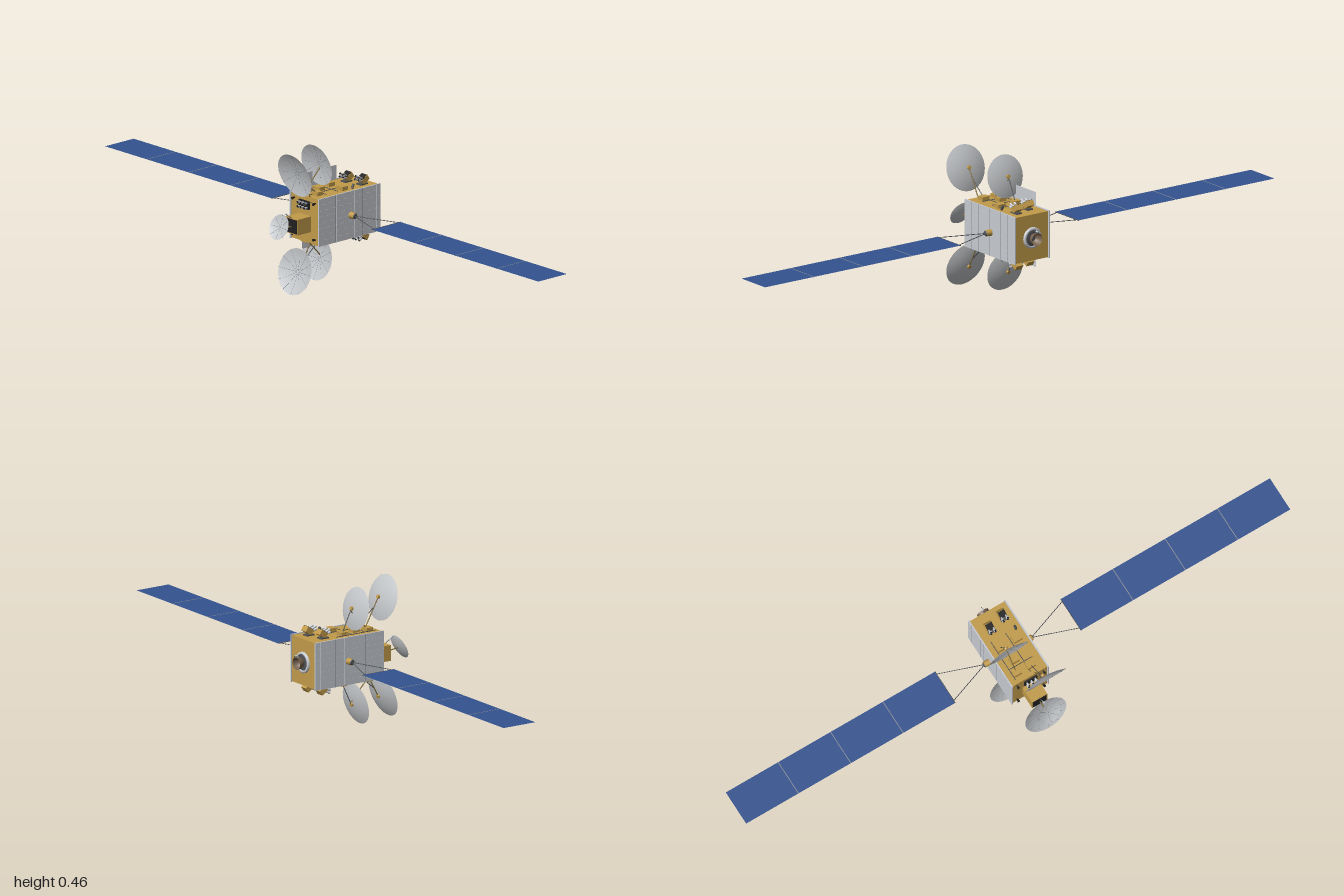
import * as THREE from 'three';

const mat = (name, color, side = THREE.FrontSide) => {
  const m = new THREE.MeshStandardMaterial({ color, side });
  m.name = name;
  return m;
};
const V = (x, y, z) => new THREE.Vector3(x, y, z);
const CY = 0.23; // height of the long axis

export function createModel() {
  const root = new THREE.Group();
  root.name = 'satellite';
  const gold = mat('gold foil', 0xc29b4a);
  const grey = mat('radiator grey', 0xc8ccd2);
  const seam = mat('seam grey', 0x8b9097);
  const dishMat = mat('reflector grey', 0xc4c7ca, THREE.DoubleSide);
  const blue = mat('solar blue', 0x34528f);
  const black = mat('black', 0x202020);
  const dark = mat('dark metal', 0x505357);
  const brown = mat('nozzle brown', 0x7a6450, THREE.DoubleSide);
  const strutMat = mat('strut bronze', 0x84703a);

  const add = (name, geo, m, p = V(0, 0, 0), parent = root) => {
    const mesh = new THREE.Mesh(geo, m);
    mesh.name = name;
    mesh.position.copy(p);
    parent.add(mesh);
    return mesh;
  };
  const box = (name, m, w, h, d, x, y, z, parent = root) =>
    add(name, new THREE.BoxGeometry(w, h, d), m, V(x, y, z), parent);
  const aim = (o, dir) => o.quaternion.setFromUnitVectors(V(0, 1, 0), dir.clone().normalize());
  // tapered round bar between two points
  const rod = (name, m, a, b, r0, r1 = r0, seg = 8) => {
    const d = b.clone().sub(a);
    const mesh = add(name, new THREE.CylinderGeometry(r1, r0, d.length(), seg), m, a.clone().add(b).multiplyScalar(0.5));
    aim(mesh, d);
    return mesh;
  };
  // shallow bowl with its rim plane centred on p and its hollow facing dir
  const dish = (name, p, dir, r, depth, ribs) => {
    const g = new THREE.Group();
    g.name = name;
    g.position.copy(p);
    aim(g, dir);
    root.add(g);
    const curve = [];
    for (let i = 0; i <= 8; i++) curve.push(new THREE.Vector2(r * i / 8, depth * ((i / 8) ** 2 - 1)));
    add('bowl', new THREE.LatheGeometry(curve, 36), dishMat, V(0, 0, 0), g);
    const path = new THREE.CatmullRomCurve3([0.05, 0.35, 0.7, 1].map(t => V(r * t, depth * (t * t - 1) + 0.0004, 0)));
    for (let i = 0; i < ribs; i++)
      add('rib', new THREE.TubeGeometry(path, 6, 0.0004, 4), seam, V(0, 0, 0), g).rotation.y = i * Math.PI * 2 / ribs;
  };

  // main body with tiled side radiators
  box('body', gold, 0.126, 0.15, 0.256, 0, CY, -0.045);
  for (const s of [1, -1]) {
    box('sideRadiator', grey, 0.004, 0.155, 0.262, s * 0.066, CY, -0.045);
    const tz = 0.262 / 14, ty = 0.155 / 8;
    for (let i = 0; i < 14; i++)
      for (let j = 0; j < 8; j++)
        box('radiatorTile', grey, 0.0006, ty - 0.0005, tz - 0.0005,
          s * 0.0682, CY - 0.0775 + (j + 0.5) * ty, 0.086 - (i + 0.5) * tz);
    for (const z of [0.015, -0.1]) box('panelJoint', seam, 0.001, 0.155, 0.002, s * 0.0683, CY, z);
  }
  // large inward-facing radiator sheet
  add('radiatorSheet', new THREE.PlaneGeometry(0.147, 0.245), grey, V(-0.0635, CY, -0.0365)).rotation.y = Math.PI / 2;

  // solar wings with their drives and yokes
  for (const s of [1, -1]) {
    const zc = -0.049, w = 0.1925;
    rod('wingDrive', gold, V(s * 0.066, CY, zc), V(s * 0.088, CY, zc), 0.011, 0.0095, 16);
    rod('driveCap', dark, V(s * 0.088, CY, zc), V(s * 0.0905, CY, zc), 0.009, 0.007, 16);
    for (const e of [-0.052, 0.052])
      rod('yokeArm', dark, V(s * 0.086, CY, zc), V(s * 0.232, CY, zc + e), 0.0012);
    rod('yokeBar', dark, V(s * 0.231, CY, zc - 0.061), V(s * 0.231, CY, zc + 0.061), 0.0012);
    for (let i = 0; i < 4; i++) {
      const x = s * (0.23 + w * (i + 0.5)), sheet = new THREE.PlaneGeometry(w, 0.122);
      add('solarCells', sheet, blue, V(x, CY + 0.0003, zc)).rotation.x = -Math.PI / 2;
      add('solarBack', sheet, black, V(x, CY - 0.0003, zc)).rotation.x = Math.PI / 2;
      if (i) box('panelGap', seam, 0.0025, 0.0012, 0.122, s * (0.23 + w * i), CY, zc);
    }
  }

  // top and bottom decks, mirrored about the long axis
  for (const s of [1, -1]) {
    const P = (x, y, z) => V(x, CY + s * y, z);
    // reflectors
    dish('frontReflector', P(0.02, 0.157, 0.145), V(0, -s * 0.04, 0.143), 0.0742, 0.0135, 12);
    dish('rearReflector', P(-0.03, 0.153, 0.006), V(0, -s * 0.028, 0.135), 0.069, 0.0115, 12);
    rod('frontBoom', strutMat, P(0.02, 0.075, 0.08), P(0.02, 0.16, 0.126), 0.0018);
    rod('frontBrace', dark, P(0.02, 0.08, 0.05), P(0.02, 0.13, 0.108), 0.0014);
    rod('reflectorHub', gold, P(0.02, 0.163, 0.123), P(0.02, 0.161, 0.1295), 0.006, 0.006, 12);
    rod('rearBoom', strutMat, P(-0.03, 0.08, 0.05), P(-0.03, 0.147, -0.012), 0.0018);
    rod('rearBrace', dark, P(-0.03, 0.085, -0.045), P(-0.03, 0.157, -0.011), 0.0014);
    rod('reflectorHub', gold, P(-0.03, 0.157, -0.014), P(-0.03, 0.1555, -0.0075), 0.006, 0.006, 12);
    // hinge boxes and deck rails
    for (const [x, z] of [[0.02, 0.05], [-0.03, 0.05], [-0.015, 0.009], [-0.03, -0.047], [0.03, -0.047]])
      box('hingeBox', gold, 0.028, 0.013, 0.024, x, CY + s * 0.081, z);
    for (const x of [-0.045, 0.01]) rod('deckRail', dark, P(x, 0.077, 0.07), P(x, 0.077, -0.08), 0.0012);
    for (const z of [0.03, -0.02]) rod('deckRail', dark, P(-0.045, 0.077, z), P(0.04, 0.077, z), 0.0012);
    // tilted feed boxes with a black aperture plate and horns
    for (const [x, z] of [[-0.025, -0.122], [0.03, -0.137]]) {
      const b = new THREE.Group();
      b.name = 'feedUnit';
      b.position.copy(P(x, 0.092, z));
      b.rotation.x = s * 0.6;
      root.add(b);
      box('feedBox', gold, 0.026, 0.018, 0.026, 0, 0, 0, b);
      box('aperturePlate', black, 0.024, 0.001, 0.024, 0, s * 0.0095, 0, b);
      for (const dx of [-0.008, 0.008])
        for (const k of [0, 1]) {
          const from = P(x + dx, 0.088 + k * 0.009, z + 0.01 + k * 0.002);
          const to = P(x + dx, 0.094 + k * 0.009, z + 0.027 - k * 0.002);
          rod('feedHorn', grey, from, to, 0.0022, 0.0045, 12);
          rod('hornMouth', black, to, to.clone().add(V(0, s * 0.0002, 0.0005)), 0.0036, 0.0036, 12);
        }
      box('feedBase', dark, 0.022, 0.004, 0.03, x, CY + s * 0.077, z + 0.005);
    }
    rod('sensor', dark, P(0.045, 0.075, -0.075), P(0.045, 0.09, -0.082), 0.004, 0.004, 10);
    // thrusters near the front corners
    for (const x of [-0.048, 0.048])
      rod('frontThruster', black, P(x, 0.06, 0.082), P(x, 0.058, 0.094), 0.002, 0.0045, 10);
  }

  // front antenna tower and steerable dish
  box('antennaTower', gold, 0.056, 0.051, 0.058, 0, 0.2175, 0.112);
  box('towerFacePlate', black, 0.05, 0.045, 0.001, 0, 0.2175, 0.1415);
  dish('steerableReflector', V(0, 0.2245, 0.1945), V(0, 0.034, 0.075), 0.041, 0.007, 8);
  rod('dishArm', strutMat, V(0, 0.215, 0.14), V(0, 0.2215, 0.186), 0.002);
  rod('feedArm', dark, V(0, 0.242, 0.14), V(0, 0.258, 0.162), 0.0012);
  rod('feedTip', grey, V(0, 0.25, 0.152), V(0, 0.263, 0.167), 0.0012, 0.003, 10);

  // front horn cluster
  box('hornPlate', black, 0.046, 0.026, 0.006, 0, 0.277, 0.086);
  for (const x of [-0.015, 0, 0.015])
    for (const y of [0.27, 0.284]) {
      rod('frontHorn', grey, V(x, y, 0.088), V(x, y, 0.101), 0.0025, 0.005, 12);
      rod('hornMouth', black, V(x, y, 0.101), V(x, y, 0.1015), 0.0042, 0.0042, 12);
    }
  rod('probe', dark, V(0.03, 0.289, 0.084), V(0.03, 0.289, 0.112), 0.0014);

  // main engine at the back
  const engine = (name, m, pts) =>
    add(name, new THREE.LatheGeometry(pts.map(p => new THREE.Vector2(...p)), 32), m, V(0, CY, -0.172)).rotation.x = -Math.PI / 2;
  engine('engineRing', grey, [[0.034, 0], [0.034, 0.006], [0.03, 0.008], [0.026, 0.008], [0.026, 0.004]]);
  engine('engineBase', dark, [[0.026, 0], [0.026, 0.005], [0, 0.005]]);
  engine('nozzle', brown, [[0.01, 0.004], [0.015, 0.01], [0.0185, 0.018], [0.0205, 0.029]]);
  rod('rearProbe', dark, V(0, 0.257, -0.172), V(0, 0.255, -0.209), 0.0013);
  rod('rearProbeTip', grey, V(0, 0.2555, -0.196), V(0, 0.255, -0.205), 0.003, 0.003, 10);

  return root;
}
